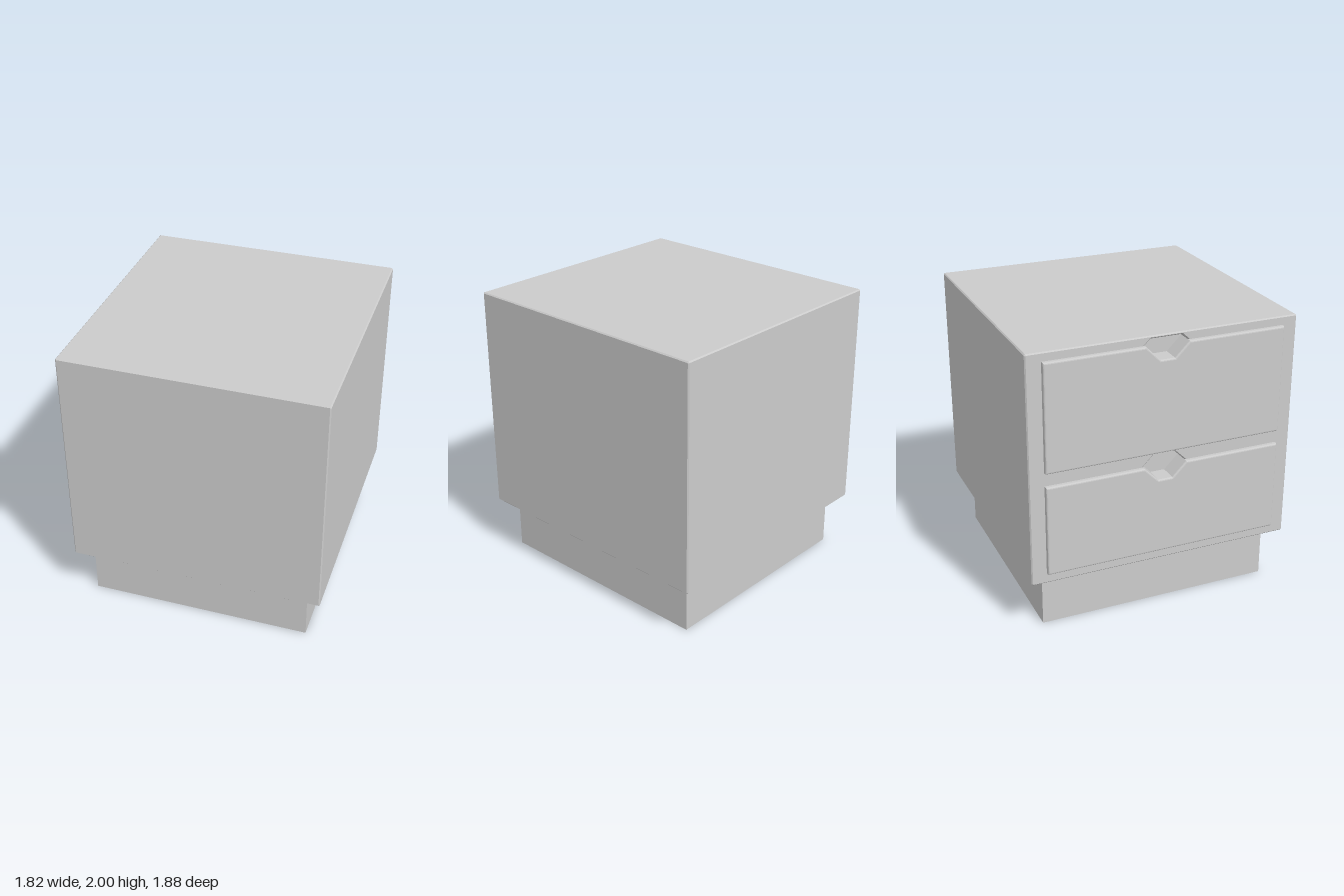
import * as THREE from 'three';

const material = new THREE.MeshStandardMaterial({ color: 0xcccccc });

// Extrude a (z, y) profile between two x values with softened edges
function slab(name, shape, xMin, xMax, bevel, segments = 1) {
  const depth = xMax - xMin - 2 * bevel;
  const geometry = new THREE.ExtrudeGeometry(shape, {
    depth, bevelEnabled: true, bevelThickness: bevel, bevelSize: bevel,
    bevelOffset: -bevel, bevelSegments: segments,
  });
  geometry.rotateY(-Math.PI / 2);
  geometry.translate(xMax - bevel, 0, 0);
  const mesh = new THREE.Mesh(geometry, material);
  mesh.name = name;
  return mesh;
}

const polygon = (points) => points.map(([z, y]) => new THREE.Vector2(z, y));

// Rectangle with tiny chamfered corners
function cabinetProfile() {
  const w = 0.94, b = 0.38, t = 2, c = 0.008;
  return new THREE.Shape(polygon([
    [-w + c, b], [w - c, b], [w, b + c], [w, t - c],
    [w - c, t], [-w + c, t], [-w, t - c], [-w, b + c],
  ]));
}

// Drawer front with a tapered finger notch in its top edge
function drawerProfile(bottom, top) {
  const w = 0.835;
  return new THREE.Shape(polygon([
    [-w, bottom], [w, bottom], [w, top], [0.15, top],
    [0.05, top - 0.1], [-0.05, top - 0.1], [-0.15, top], [-w, top],
  ]));
}

// Six-sided finger pocket behind a notch, cut into the cabinet face
function pocketProfile(y, rise) {
  const half = 0.15 - rise;
  return new THREE.Path(polygon([
    [-0.15, y], [-0.05, y - 0.1], [0.05, y - 0.1],
    [0.15, y], [half, y + rise], [-half, y + rise],
  ]));
}

export function createModel() {
  const group = new THREE.Group();
  group.name = 'bedsideCabinet';

  // Recessed plinth
  const plinth = new THREE.Mesh(new THREE.BoxGeometry(1.575, 0.4, 1.67), material);
  plinth.position.set(0.0125, 0.2, 0);
  plinth.name = 'plinth';
  group.add(plinth);

  // Cabinet body, with a pierced face slab joined to it
  const drawers = [
    { name: 'lowerDrawer', bottom: 0.455, top: 1.095, rise: 0.08 },
    { name: 'upperDrawer', bottom: 1.19, top: 1.94, rise: 0.04 },
  ];
  const face = cabinetProfile();
  for (const d of drawers) face.holes.push(pocketProfile(d.top, d.rise));
  group.add(slab('cabinetBody', cabinetProfile(), -0.78, 0.91, 0.008));
  group.add(slab('cabinetFace', face, -0.88, -0.764, 0.008));

  // Drawer fronts
  for (const d of drawers) {
    group.add(slab(d.name, drawerProfile(d.bottom, d.top), -0.912, -0.86, 0.012, 3));
  }
  return group;
}
